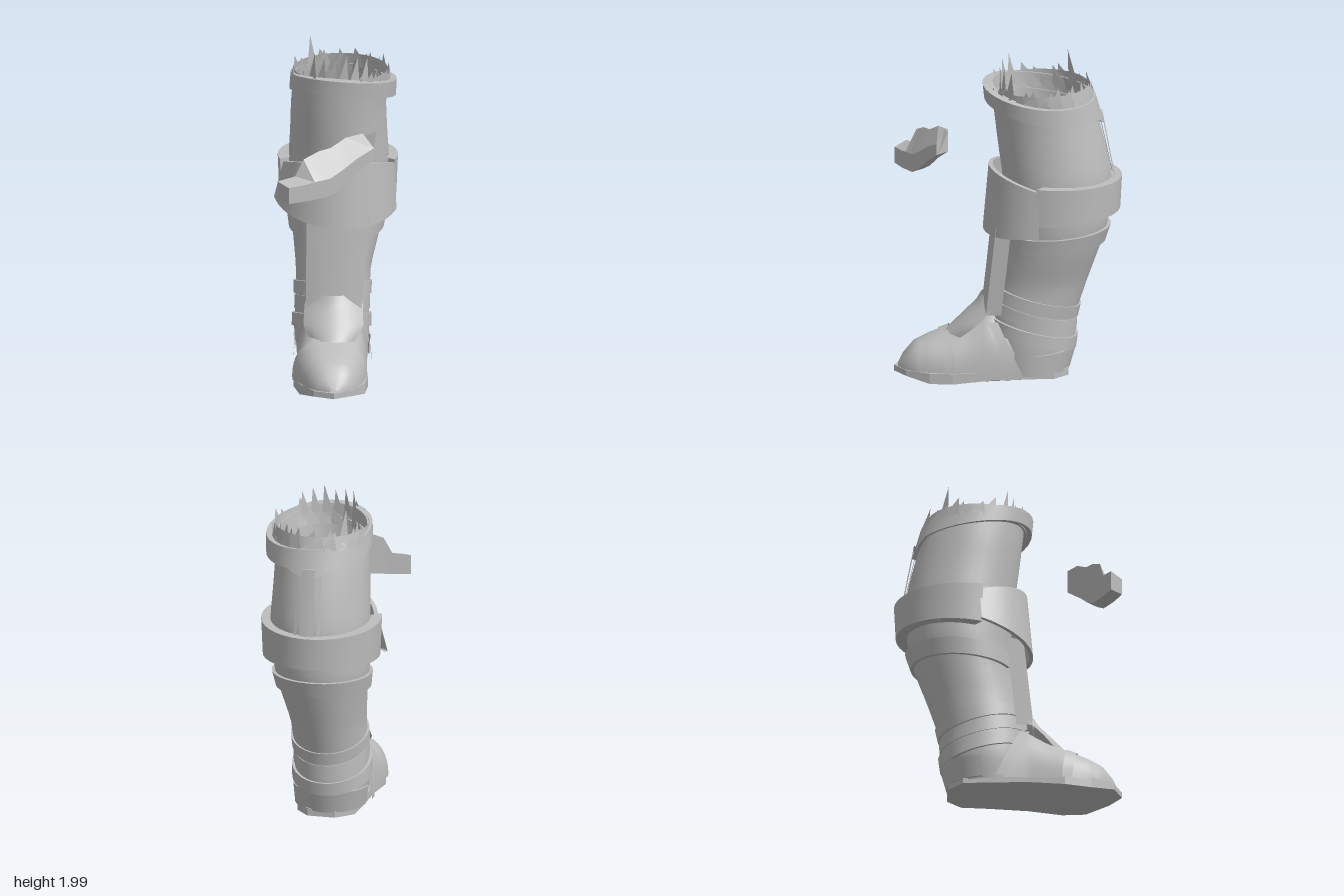
import * as THREE from 'three';
import { toCreasedNormals } from 'three/addons/utils/BufferGeometryUtils.js';

const PI = Math.PI;
const lerp = THREE.MathUtils.lerp;

// Piecewise-linear lookup: the first column of each row is the key (descending)
function sample(rows, k) {
  let i = 0;
  while (i < rows.length - 2 && k < rows[i + 1][0]) i++;
  const a = rows[i], b = rows[i + 1];
  const f = THREE.MathUtils.clamp((a[0] - k) / (a[0] - b[0]), 0, 1);
  return a.map((v, j) => lerp(v, b[j], f));
}

// Grid surface from a function (u, v in 0..1) -> [x, y, z]
function grid(fn, nu, nv, crease = 0.6) {
  const pos = [], idx = [];
  for (let j = 0; j <= nv; j++) for (let i = 0; i <= nu; i++) pos.push(...fn(i / nu, j / nv));
  for (let j = 0; j < nv; j++) for (let i = 0; i < nu; i++) {
    const a = j * (nu + 1) + i, b = a + 1, c = a + nu + 1, d = c + 1;
    idx.push(a, b, d, a, d, c);
  }
  const g = new THREE.BufferGeometry();
  g.setAttribute('position', new THREE.Float32BufferAttribute(pos, 3));
  g.setIndex(idx);
  return toCreasedNormals(g, crease);
}

// Leg outline: y, right x, left x, front z, back z
const LEG = [
  [1.84, -0.26, 0.30, 0.11, -0.475], [1.62, -0.28, 0.29, 0.085, -0.535],
  [1.45, -0.285, 0.295, 0.065, -0.58], [1.27, -0.295, 0.305, 0.04, -0.615],
  [0.95, -0.29, 0.28, 0.02, -0.59], [0.80, -0.27, 0.25, 0.03, -0.54],
  [0.60, -0.25, 0.20, 0.07, -0.47], [0.40, -0.25, 0.19, 0.11, -0.405],
  [0.20, -0.26, 0.19, 0.12, -0.395], [0.04, -0.23, 0.18, 0.10, -0.35],
];
// Angle 0 faces the front, PI/2 the model's left
function legPoint(y, t, off = 0) {
  const [, x0, x1, zf, zb] = sample(LEG, y);
  return [(x0 + x1) / 2 + ((x1 - x0) / 2 + off) * Math.sin(t), y,
    (zf + zb) / 2 + ((zf - zb) / 2 + off) * Math.cos(t)];
}
// Raised band wrapped round the leg, with closed upper and lower lips
function legBand(t0, t1, top, bottom, off, n = 36) {
  return grid((u, v) => {
    const t = lerp(t0, t1, u), k = Math.round(v * 3);
    return legPoint(k < 2 ? bottom(t) : top(t), t, k === 0 || k === 3 ? -0.01 : off(t));
  }, n, 3);
}
const back = t => (1 - Math.cos(t)) / 2; // 0 at the front, 1 at the back
const collarDrop = t => 1 - (1 - back(t)) ** 2;
const bulge = t => Math.max(0, Math.cos(t * 1.1));

// Knee ring; its lips turn in to the leg where it is strapped on
function kneeBand(t0, t1, top, bottom, outTop, outBottom, inner, n) {
  return grid((u, v) => {
    const t = lerp(t0, t1, u), k = Math.round(v * 3), low = k < 2;
    const y = low ? bottom(t) : top(t), off = low ? outBottom(t) : outTop(t);
    const ring = o => [(0.355 + o) * Math.sin(t), y, -0.265 + (0.4 + o) * Math.cos(t)];
    return k === 0 || k === 3 ? inner(y, t, ring, off) : ring(off);
  }, n, 3);
}

// Ring of thin upright triangles
function spikes(count, t0, t1, base, tip, off, width) {
  const pos = [];
  for (let i = 0; i < count; i++) {
    const t = lerp(t0, t1, (i + 0.5) / count);
    pos.push(...legPoint(base, t - width, off), ...legPoint(base, t + width, off));
    const p = legPoint(1.84, t + width * 0.6, off);
    pos.push(p[0], tip(i, t), p[2]);
  }
  const g = new THREE.BufferGeometry();
  g.setAttribute('position', new THREE.Float32BufferAttribute(pos, 3));
  g.computeVertexNormals();
  return g;
}

export function createModel() {
  const model = new THREE.Group();
  model.name = 'armouredBoot';
  const grey = new THREE.MeshStandardMaterial({ color: 0xbdbdbd, side: THREE.DoubleSide });
  grey.name = 'plain grey';
  const add = (name, geo) => {
    const m = new THREE.Mesh(geo, grey);
    m.name = name;
    model.add(m);
    return m;
  };

  // Hollow leg shell
  add('legShell', grid((u, v) => legPoint(lerp(0.04, 1.84, v), u * 2 * PI), 40, 30, 1));

  // Collar, lower towards the back, where it dips into a point
  add('collar', legBand(0, 2 * PI, t => 1.855 - 0.08 * collarDrop(t) - 0.02 * Math.sin(t),
    t => 1.765 - 0.105 * collarDrop(t) - 0.02 * Math.sin(t) - 0.07 * Math.max(0, 1 - Math.abs(t - PI) * 2),
    t => 0.05 + 0.02 * Math.sin(t) - 0.025 * back(t)));

  // Ragged fur lining
  add('furShort', spikes(26, 0, 2 * PI, 1.76, (i, t) => 1.83 + 0.03 * (i % 3) - 0.02 * back(t), 0.02, 0.17));
  add('furInner', spikes(20, 0, 2 * PI, 1.74, i => 1.82 + 0.03 * (i % 2), -0.05, 0.2));
  add('furTall', spikes(6, -0.95, 0.85, 1.81, i => 1.985 - 0.015 * (i % 3), -0.05, 0.14));
  add('furBack', spikes(7, 1.7, 4.5, 1.76, i => (i === 5 ? 1.99 : 1.88), -0.03, 0.16));

  // Back strap with a raised edge on each side
  add('backStrap', legBand(PI - 0.16, PI + 0.1, () => 1.66, () => 1.2, () => 0.035, 4));
  for (const s of [-1, 1]) {
    add('backStrapEdge', legBand(PI - 0.03 + s * 0.2, PI - 0.03 + s * 0.26,
      () => 1.64, () => 1.25, () => 0.015, 2));
  }

  // Knee guard, flaring downwards on its right, and the strap behind it
  add('kneeGuard', kneeBand(-1.34, 1.34, t => 1.24 + 0.095 * bulge(t),
    t => lerp(1.04, 0.97, (t + 1.34) / 2.68) - 0.075 * bulge(t),
    t => -0.012 + 0.01 * Math.sin(t), t => 0.022 - 0.014 * Math.sin(t),
    (y, t, ring, off) => ring(off - 0.025), 22));
  const strapOff = t => 0.012 - 0.025 * (1 - back(t)) ** 2;
  add('kneeStrap', kneeBand(1.3, 2 * PI - 1.3, t => 1.28 - 0.02 * back(t),
    t => 1.01 + 0.05 * back(t), strapOff, t => strapOff(t) - 0.01,
    (y, t) => legPoint(y, t), 28));

  // Shin plate
  add('shinPlate', grid((u, v) => {
    const s = lerp(-1, 1, u), y = lerp(0.42, 0.99, v);
    const hw = lerp(0.165, 0.19, v), z = lerp(0.165, 0.105, v);
    return [lerp(-0.015, 0.01, v) + hw * Math.sign(s) * Math.min(1, Math.abs(s) * 1.25),
      y, z - 0.035 * s * s - (Math.abs(s) > 0.8 ? (Math.abs(s) - 0.8) * 0.4 : 0)];
  }, 20, 6));

  // Calf and ankle straps: front height, back height, width, offset
  for (const [f, b, h, off] of [[0.91, 0.955, 0.10, 0.02], [0.575, 0.445, 0.075, 0.012],
    [0.49, 0.36, 0.08, 0.006], [0.385, 0.25, 0.08, 0.016]]) {
    add('legStrap', legBand(0.5, 2 * PI - 0.5, t => lerp(f, b, back(t)),
      t => lerp(f, b, back(t)) - h, () => off));
  }
  // Heel counter
  add('heelCounter', legBand(1.7, 2 * PI - 1.7, t => 0.15 + 0.04 * back(t), () => 0.05, () => 0.012));

  // Foot upper: z, half width, centre x, top y
  const FOOT = [[0.665, 0.03, 0, 0.08], [0.64, 0.09, -0.01, 0.125], [0.57, 0.15, -0.015, 0.205],
    [0.48, 0.19, -0.025, 0.245], [0.36, 0.22, -0.035, 0.285], [0.24, 0.215, -0.03, 0.335],
    [0.12, 0.21, -0.025, 0.41], [-0.03, 0.21, -0.03, 0.38]];
  const footPoint = (z, a, off = 0) => {
    const [, hw, cx, top] = sample(FOOT, z);
    const c = Math.cos(a), s = Math.max(0, Math.sin(a));
    return [cx + (hw + off) * Math.sign(c) * Math.abs(c) ** 0.75, 0.045 + (top - 0.045 + off) * s ** 0.9, z];
  };
  add('footUpper', grid((u, v) => footPoint(lerp(0.665, -0.03, v), u * PI), 20, 22, 1));

  // Toe cap seam and diagonal instep straps
  add('toeSeam', grid((u, v) => footPoint(lerp(0.43, 0.37, v) - 0.1 * Math.abs(u - 0.5), u * PI, 0.008), 18, 1));
  for (const s of [-1, 1]) {
    add('instepStrap', grid((u, v) => [
      -0.028 + s * (0.235 - 0.07 * u * u), lerp(0.05, 0.37, u),
      lerp(-0.02, 0.13, u) - 0.06 * v], 6, 1));
  }

  // Instep tongue plate: y, front z, half width
  const TONGUE = [[0.515, 0.17, 0.14], [0.46, 0.2, 0.175], [0.35, 0.31, 0.18], [0.28, 0.385, 0.13]];
  add('tonguePlate', grid((u, v) => {
    const [y, z, hw] = sample(TONGUE, lerp(0.28, 0.515, v)), s = lerp(-1, 1, u);
    return [-0.015 + hw * s, y - 0.01 * s * s, z - 0.09 * s * s];
  }, 12, 9));

  // Sole, drawn in plan, extruded upwards and lifted underneath at the toe
  const plan = [[0.0, 0.69], [0.11, 0.62], [0.18, 0.48], [0.195, 0.34], [0.18, 0.12], [0.16, -0.1],
    [0.15, -0.27], [0.07, -0.355], [-0.1, -0.355], [-0.2, -0.27], [-0.215, -0.1], [-0.23, 0.12],
    [-0.25, 0.34], [-0.21, 0.5], [-0.12, 0.64]];
  const soleShape = new THREE.Shape(plan.map(([x, z]) => new THREE.Vector2(x, -z)));
  const sole = new THREE.ExtrudeGeometry(soleShape, { depth: 0.065, bevelEnabled: false }).rotateX(-PI / 2);
  const sp = sole.attributes.position;
  for (let i = 0; i < sp.count; i++) {
    const z = sp.getZ(i);
    if (sp.getY(i) < 0.03) sp.setY(i, z > 0.55 ? 0.03 : z > 0.3 ? 0 : 0.018);
  }
  sole.computeVertexNormals();
  add('sole', sole);

  // Detached angular strip in front of the knee: x, bottom y, front top y, back top y, z
  const STRIP = [[0.2, 1.46, 1.53, 1.6, 0.405], [0.1, 1.39, 1.48, 1.59, 0.46], [0.01, 1.31, 1.42, 1.54, 0.51],
    [-0.06, 1.27, 1.38, 1.53, 0.545], [-0.15, 1.26, 1.37, 1.49, 0.585], [-0.2, 1.255, 1.36, 1.39, 0.605],
    [-0.305, 1.25, 1.35, 1.37, 0.645]];
  const stripPoint = (i, s, h) => {
    const [x, y0, yf, yb, z] = STRIP[i];
    return [x + s * 0.035, h ? (s > 0 ? yf : yb) : y0, z + s * 0.035];
  };
  const corners = [[-1, 0], [1, 0], [1, 1], [-1, 1], [-1, 0]];
  add('floatingStrip', grid((u, v) => stripPoint(Math.round(v * 6), ...corners[Math.round(u * 4)]), 4, 6, 0.3));
  for (const i of [0, 6]) add('stripEnd', grid((u, v) => stripPoint(i, u * 2 - 1, v), 1, 1));
  // Pointed shard at its raised end
  const shard = [[0.17, 1.585, 0.37], [0.245, 1.62, 0.395], [0.225, 1.46, 0.43], [0.14, 1.5, 0.44]];
  add('stripShard', grid((u, v) => shard[v ? 3 - u : u], 1, 1));
  return model;
}
